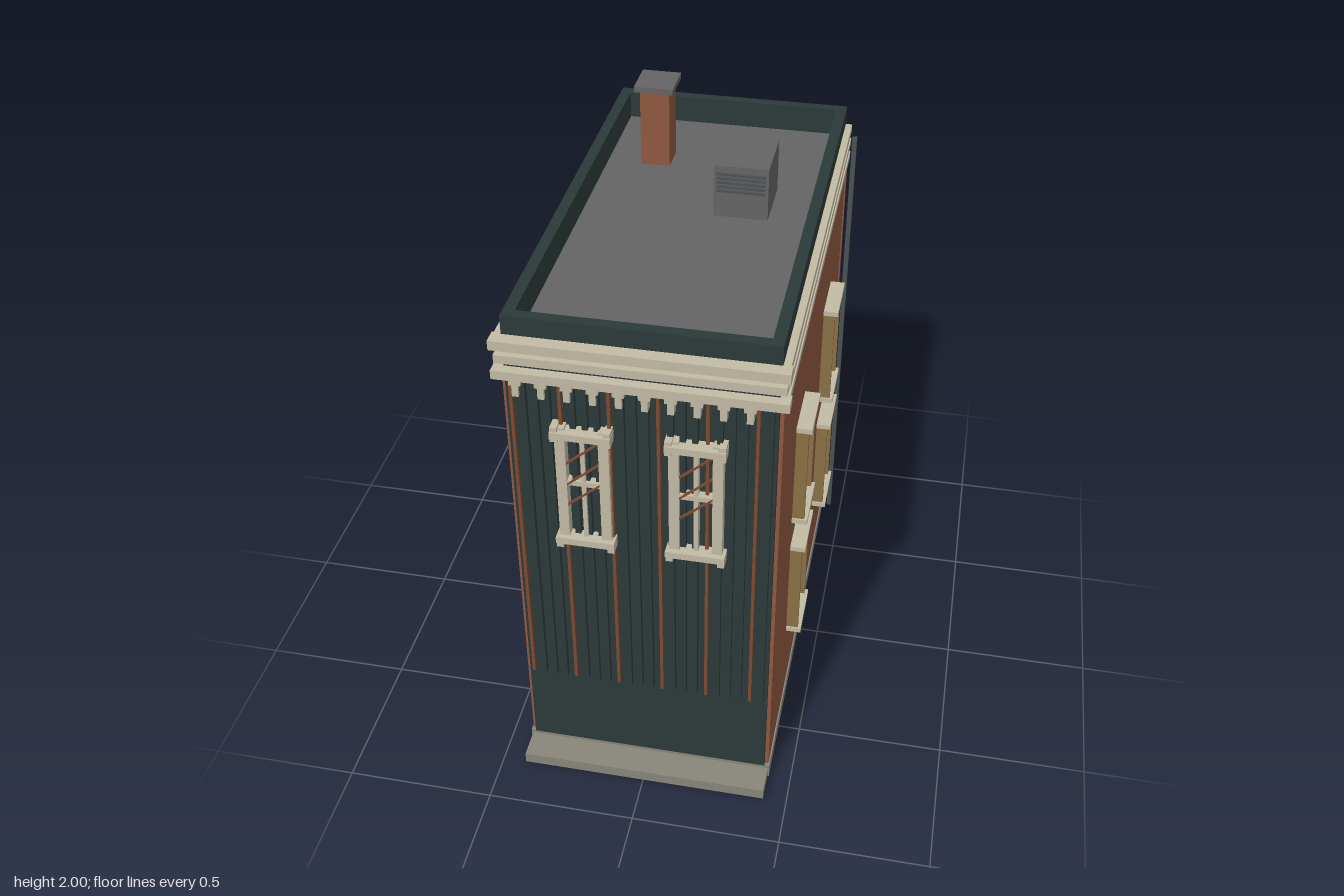
import * as THREE from 'three';

const mat = (name, color) => {
  const m = new THREE.MeshStandardMaterial({ color });
  m.name = name;
  return m;
};

export function createModel() {
  const brick = mat('brick', 0x8f5840);
  const backBrick = mat('back brick', 0x8a5638);
  const dark = mat('dark green paint', 0x2c3939);
  const glass = mat('window glass', 0x303c3c);
  const cream = mat('cream trim', 0xc2baa4);
  const wood = mat('ochre wood', 0x8a7046);
  const stone = mat('foundation stone', 0x88857a);
  const roofGrey = mat('roof grey', 0x646464);
  const metal = mat('dark metal', 0x4c5052);
  const rust = mat('rust brown', 0x7d4a30);

  const model = new THREE.Group();
  model.name = 'townhouse';

  // Box given by its limits on each axis
  const box = (name, m, [x0, x1], [y0, y1], [z0, z1], parent = model) => {
    const mesh = new THREE.Mesh(new THREE.BoxGeometry(x1 - x0, y1 - y0, z1 - z0), m);
    mesh.position.set((x0 + x1) / 2, (y0 + y1) / 2, (z0 + z1) / 2);
    mesh.name = name;
    parent.add(mesh);
    return mesh;
  };
  const group = (name) => {
    const g = new THREE.Group();
    g.name = name;
    model.add(g);
    return g;
  };

  // Foundation, front step and brick body
  box('foundation', stone, [-0.425, 0.425], [0, 0.055], [-0.832, 0.732]);
  box('frontStep', stone, [-0.42, 0.42], [0, 0.04], [0.73, 0.832]);
  box('walls', brick, [-0.42, 0.42], [0.055, 1.7], [-0.822, 0.722]);

  // Back wall with two window openings
  const wall = new THREE.Shape([[-0.425, 0.055], [0.425, 0.055], [0.425, 1.71], [-0.425, 1.71]]
    .map(([x, y]) => new THREE.Vector2(x, y)));
  for (const y of [0.37, 0.87]) {
    wall.holes.push(new THREE.Path([[-0.128, y], [-0.128, y + 0.385], [0.128, y + 0.385], [0.128, y]]
      .map(([x, v]) => new THREE.Vector2(x, v))));
    box('backWindowGlass', glass, [-0.128, 0.128], [y, y + 0.385], [-0.829, -0.821]);
  }
  const backWall = new THREE.Mesh(
    new THREE.ExtrudeGeometry(wall, { depth: 0.014, bevelEnabled: false }), backBrick);
  backWall.position.z = -0.835;
  backWall.name = 'backWall';
  model.add(backWall);

  // Painted front with vertical slats
  box('frontPanel', dark, [-0.408, 0.408], [0.055, 1.7], [0.72, 0.735]);
  const slats = group('frontSlats');
  for (let i = 0; i < 22; i++) {
    const x = -0.39 + i * 0.037;
    const accent = i % 4 === 0;
    const w = accent ? 0.005 : 0.009;
    box('slat', accent ? rust : dark, [x - w, x + w], [0.38, 1.61], [0.73, accent ? 0.75 : 0.753], slats);
  }

  // Cornice: three bands on the front and both sides
  const cornice = group('cornice');
  [[1.705, 1.737, 0.77], [1.655, 1.683, 0.76], [1.602, 1.632, 0.768]].forEach(([y0, y1, z], i) => {
    const w = i === 1 ? 0.43 : 0.44;
    box('frontBand', cream, [-w, w], [y0, y1], [0.72, z], cornice);
    for (const s of [-1, 1]) {
      const xs = [s * 0.41, s * 0.434].sort((a, b) => a - b);
      box('sideBand', cream, xs, [y0 + 0.003, y1 - 0.001], [-0.815, 0.721], cornice);
    }
  });
  for (let i = 0; i < 10; i++) {
    const x = -0.37 + i * 0.0775;
    box('bracket', cream, [x - 0.01, x + 0.01], [1.545, 1.605], [0.73, 0.764], cornice);
    box('bracketHead', cream, [x - 0.018, x + 0.018], [1.585, 1.605], [0.73, 0.766], cornice);
  }

  // Roof and parapet
  box('roof', roofGrey, [-0.385, 0.385], [1.695, 1.706], [-0.8, 0.7]);
  const parapet = group('parapet');
  for (const s of [-1, 1]) {
    const xs = [s * 0.375, s * 0.411].sort((a, b) => a - b);
    box('parapetSide', dark, xs, [1.695, 1.8], [-0.823, 0.727], parapet);
  }
  box('parapetFront', dark, [-0.375, 0.375], [1.695, 1.8], [0.69, 0.727], parapet);
  box('parapetBack', dark, [-0.375, 0.375], [1.695, 1.8], [-0.823, -0.787], parapet);

  // Front windows
  for (const cx of [-0.177, 0.17]) {
    const win = group('frontWindow');
    win.position.x = cx;
    for (const s of [-1, 1]) {
      const at = (c, h) => [s * c - h, s * c + h];
      box('jamb', cream, at(0.067, 0.016), [1.0, 1.45], [0.735, 0.768], win);
      box('lintelBlock', cream, at(0.081, 0.011), [1.405, 1.457], [0.735, 0.78], win);
      box('sillFoot', cream, at(0.081, 0.011), [0.99, 1.03], [0.735, 0.78], win);
    }
    box('lintel', cream, [-0.093, 0.093], [1.418, 1.442], [0.735, 0.785], win);
    box('sill', cream, [-0.093, 0.093], [1.008, 1.032], [0.735, 0.785], win);
    box('mullion', cream, [-0.007, 0.007], [1.03, 1.42], [0.735, 0.762], win);
    box('middleRail', cream, [-0.055, 0.055], [1.232, 1.25], [0.735, 0.764], win);
    // Slanted glazing rods
    for (const y of [1.2, 1.28, 1.36]) {
      const rod = box('glazingRod', rust, [-0.085, 0.085], [y - 0.003, y + 0.003], [0.758, 0.766], win);
      rod.rotation.z = 0.72;
    }
  }

  // Side windows, mirrored on both walls
  for (const s of [-1, 1]) {
    const xs = (a, b) => [s * a, s * b].sort((p, q) => p - q);
    for (const cz of [0.28, -0.41]) {
      for (const y of [0.363, 0.863]) {
        const win = group('sideWindow');
        box('glass', glass, xs(0.415, 0.424), [y + 0.01, y + 0.385], [cz - 0.085, cz + 0.085], win);
        for (const d of [-0.087, 0.087]) {
          box('jamb', wood, xs(0.415, 0.46), [y + 0.015, y + 0.38], [cz + d - 0.009, cz + d + 0.009], win);
        }
        box('sill', cream, xs(0.415, 0.471), [y, y + 0.018], [cz - 0.102, cz + 0.102], win);
        box('lintel', cream, xs(0.415, 0.471), [y + 0.377, y + 0.395], [cz - 0.102, cz + 0.102], win);
      }
    }
    // Drain pipe near the back corner
    box('drainPipe', metal, xs(0.442, 0.459), [0, 1.71], [-0.774, -0.757]);
  }

  // Chimney
  box('chimney', brick, [-0.257, -0.156], [1.7, 1.98], [-0.538, -0.432]);
  box('chimneyCap', roofGrey, [-0.273, -0.14], [1.98, 2.0], [-0.555, -0.414]);

  // Rooftop ventilation unit with louvres
  const vent = group('ventUnit');
  box('ventBox', roofGrey, [0.055, 0.235], [1.7, 1.89], [-0.337, -0.122], vent);
  for (let i = 0; i < 5; i++) {
    const y = 1.8 + i * 0.015;
    box('louvre', metal, [0.065, 0.225], [y, y + 0.007], [-0.124, -0.112], vent);
  }

  return model;
}
